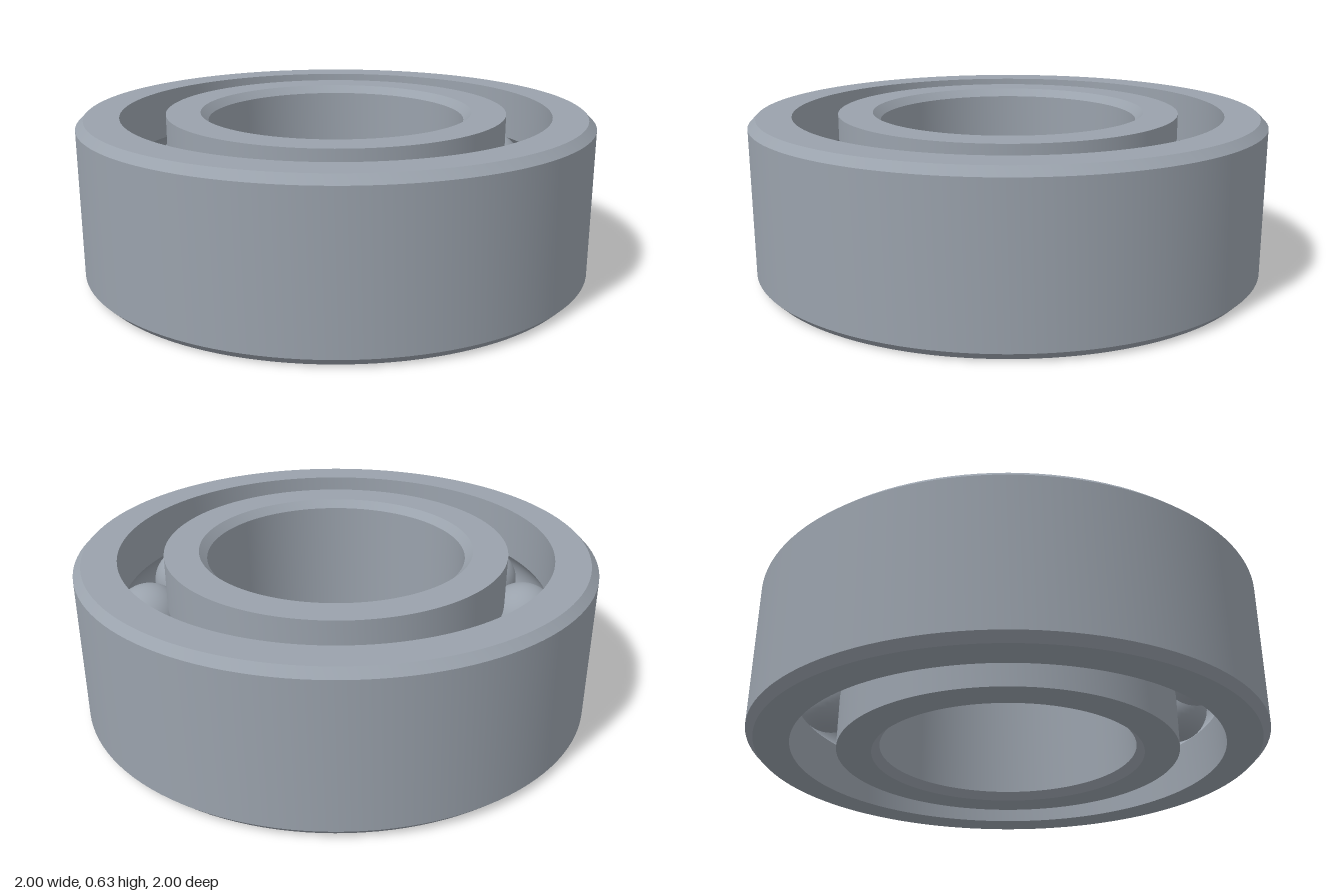
import * as THREE from 'three';
import { toCreasedNormals } from 'three/addons/utils/BufferGeometryUtils.js';

const HEIGHT = 0.626, MID = HEIGHT / 2;
const PITCH = 0.75;      // radius of the circle of ball centres
const GROOVE = 0.14, BALL = 0.139;
const CHAMFER = 0.03;
const BALLS = 12, FIRST_ANGLE = THREE.MathUtils.degToRad(11.8);

// Arc of the raceway groove, cut into a wall at radius `wall`; side +1 outer ring, -1 inner ring
function groove(wall, side) {
  const limit = Math.acos(Math.abs(wall - PITCH) / GROOVE);
  const points = [];
  for (let i = 0; i <= 20; i++) {
    const a = side * limit * (1 - i / 10);
    points.push([PITCH + side * GROOVE * Math.cos(a), MID + GROOVE * Math.sin(a)]);
  }
  return points;
}

// Closed profile, counter-clockwise, turned about the y axis
function ring(name, profile, material) {
  const points = [...profile, profile[0]].map(([r, y]) => new THREE.Vector2(r, y));
  const mesh = new THREE.Mesh(toCreasedNormals(new THREE.LatheGeometry(points, 128), 0.4), material);
  mesh.name = name;
  return mesh;
}

export function createModel() {
  const steel = new THREE.MeshStandardMaterial({ color: 0x9aa2ac });
  steel.name = 'steel';
  const group = new THREE.Group();
  group.name = 'ballBearing';

  // Outer race: chamfered outside, groove inside
  group.add(ring('outerRing', [
    [1 - CHAMFER, 0], [1, CHAMFER], [1, HEIGHT - CHAMFER], [1 - CHAMFER, HEIGHT],
    [0.837, HEIGHT], ...groove(0.837, 1), [0.837, 0],
  ], steel));

  // Inner race: groove outside, chamfered bore
  group.add(ring('innerRing', [
    [0.663, 0], ...groove(0.663, -1), [0.663, HEIGHT],
    [0.5 + CHAMFER, HEIGHT], [0.5, HEIGHT - CHAMFER], [0.5, CHAMFER], [0.5 + CHAMFER, 0],
  ], steel));

  // Balls
  const balls = new THREE.Group();
  balls.name = 'balls';
  const ballGeometry = new THREE.SphereGeometry(BALL, 40, 24);
  for (let i = 0; i < BALLS; i++) {
    const a = FIRST_ANGLE + (i / BALLS) * Math.PI * 2;
    const ball = new THREE.Mesh(ballGeometry, steel);
    ball.name = `ball${i + 1}`;
    ball.position.set(PITCH * Math.cos(a), MID, PITCH * Math.sin(a));
    balls.add(ball);
  }
  group.add(balls);
  return group;
}
